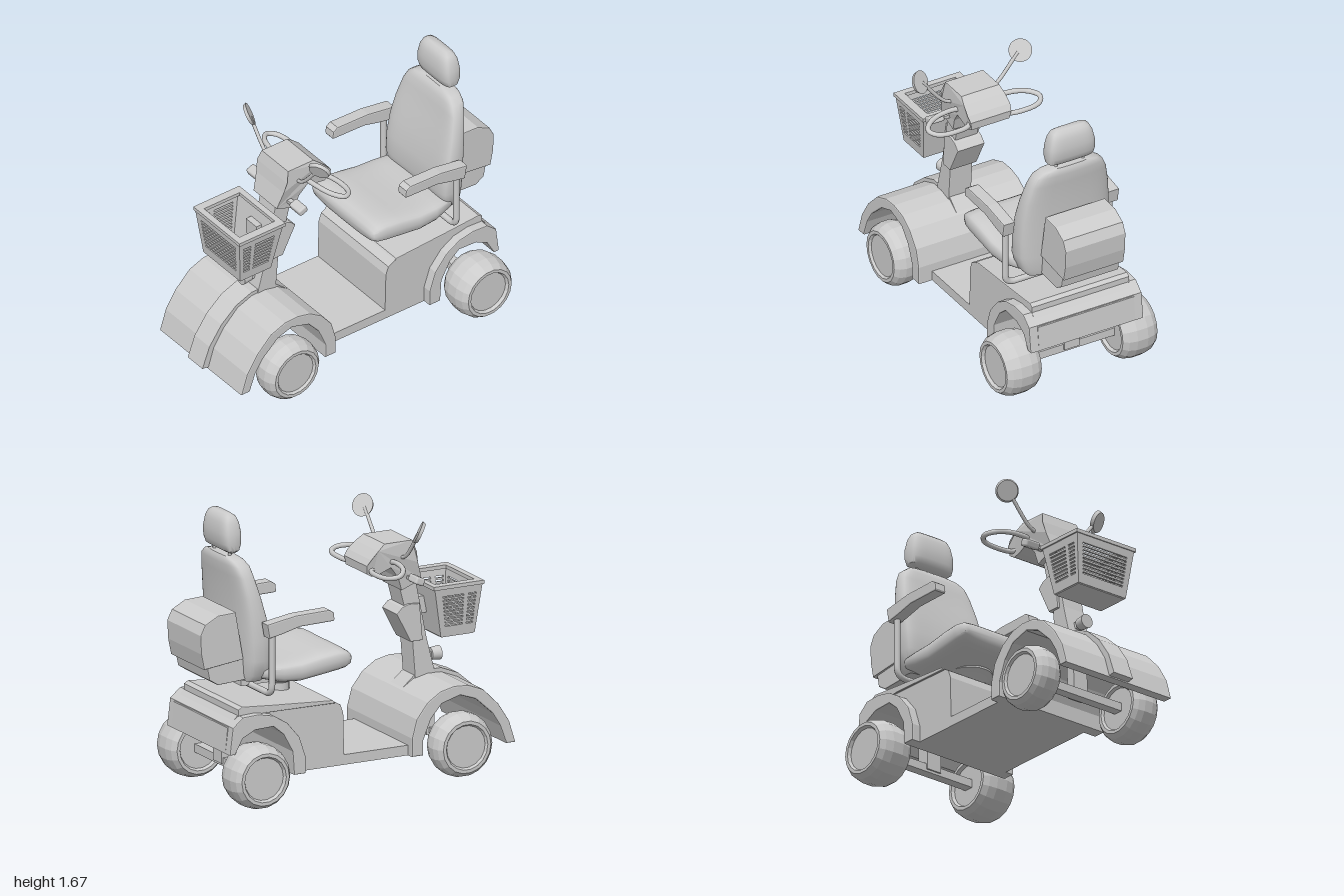
import * as THREE from 'three';
import { toCreasedNormals } from 'three/addons/utils/BufferGeometryUtils.js';
import { RoundedBoxGeometry } from 'three/addons/geometries/RoundedBoxGeometry.js';

const smooth = new THREE.MeshStandardMaterial({ color: 0xcccccc, side: THREE.DoubleSide });
const flat = new THREE.MeshStandardMaterial({ color: 0xcccccc, side: THREE.DoubleSide, flatShading: true });
const V = (x, y, z) => new THREE.Vector3(x, y, z);

export function createModel() {
  const model = new THREE.Group();

  const add = (name, geometry, material = smooth) => {
    const mesh = new THREE.Mesh(geometry, material);
    mesh.name = name;
    model.add(mesh);
    return mesh;
  };
  const box = (name, w, h, d, x, y, z) => add(name, new THREE.BoxGeometry(w, h, d).translate(x, y, z));

  // Side profile of [z, y] points, extruded across x
  const profile = (points, x0, x1, bevel = 0) => {
    const shape = new THREE.Shape(points.map(([z, y]) => new THREE.Vector2(z, y)));
    const g = new THREE.ExtrudeGeometry(shape, {
      depth: x1 - x0 - 2 * bevel, bevelEnabled: bevel > 0, bevelSize: bevel,
      bevelThickness: bevel, bevelOffset: -bevel, bevelSegments: 2,
    });
    return g.rotateY(-Math.PI / 2).translate(x1 - bevel, 0, 0);
  };

  // Loft of superellipses; stations are [u, halfWidth, vLow, vHigh], upright: u = y, v = z
  const loft = (stations, upright, power, bend = 0) => {
    const N = 32, pos = [], idx = [];
    const put = (x, v, u) => (upright ? pos.push(x, u, v + bend * x * x) : pos.push(x, v + bend * x * x, u));
    const tri = (a, b, c) => (upright ? idx.push(a, c, b) : idx.push(a, b, c));
    const bulge = (t) => Math.sign(t) * Math.abs(t) ** (2 / power);
    stations.forEach(([u, w, lo, hi], i) => {
      for (let j = 0; j < N; j++) {
        const a = (j / N) * Math.PI * 2;
        put(w * bulge(Math.cos(a)), (lo + hi) / 2 + ((hi - lo) / 2) * bulge(Math.sin(a)), u);
        if (i === 0) continue;
        const p = (i - 1) * N + j, q = (i - 1) * N + ((j + 1) % N);
        tri(p, q, q + N);
        tri(p, q + N, p + N);
      }
    });
    [0, stations.length - 1].forEach((i) => {
      const [u, , lo, hi] = stations[i], c = pos.length / 3;
      put(0, (lo + hi) / 2, u);
      for (let j = 0; j < N; j++) {
        const p = i * N + j, q = i * N + ((j + 1) % N);
        if (i) tri(c, p, q); else tri(c, q, p);
      }
    });
    const g = new THREE.BufferGeometry();
    g.setAttribute('position', new THREE.Float32BufferAttribute(pos, 3));
    g.setIndex(idx);
    return toCreasedNormals(g, 0.7);
  };

  // Wheels, with recessed hubs
  const wheel = (name, x, z, w) => {
    const half = [[0, 0.42], [0.125, 0.42], [0.135, 0.5], [0.155, 0.5], [0.178, 0.36], [0.19, 0.15]];
    const pts = [...half.map(([r, a]) => [r, -a]), ...half.slice().reverse()];
    const g = new THREE.LatheGeometry(pts.map(([r, a]) => new THREE.Vector2(r, a * w)), 18);
    add(name, g.rotateZ(Math.PI / 2).translate(x, 0.19, z), flat);
  };
  for (const s of [-1, 1]) {
    wheel('frontWheel', s * 0.36, 0.61, 0.18);
    wheel('rearWheel', s * 0.385, -0.73, 0.23);
  }
  box('frontAxle', 0.6, 0.05, 0.06, 0, 0.19, 0.61);
  box('rearAxle', 0.6, 0.05, 0.06, 0, 0.19, -0.73);
  box('rearStrut', 0.1, 0.3, 0.08, 0, 0.33, -0.73);

  // Front fender shell and its raised centre strip
  const arch = [[0.36, 0.16], [0.36, 0.25], [0.41, 0.37], [0.48, 0.45], [0.6, 0.485], [0.7, 0.45], [0.81, 0.35], [0.86, 0.27], [0.9, 0.16]];
  add('frontFender', profile([[0.96, 0.16], [0.92, 0.29], [0.85, 0.4], [0.75, 0.5], [0.65, 0.54], [0.56, 0.545],
    [0.47, 0.525], [0.385, 0.47], [0.315, 0.38], [0.285, 0.27], [0.285, 0.16], ...arch], -0.39, 0.39, 0.008));
  add('fenderStrip', profile([[1, 0.175], [0.95, 0.31], [0.865, 0.43], [0.76, 0.52], [0.65, 0.565], [0.56, 0.565],
    [0.47, 0.54], [0.4, 0.48], [0.6, 0.5], [0.7, 0.47], [0.81, 0.36], [0.86, 0.27], [0.9, 0.16]], -0.07, 0.07));

  // Floor and rear body
  box('floor', 0.64, 0.06, 0.56, -0.02, 0.19, 0.08);
  const rearArch = [[-0.905, 0.33], [-0.87, 0.33], [-0.82, 0.42], [-0.74, 0.46], [-0.62, 0.465], [-0.555, 0.41], [-0.495, 0.3], [-0.485, 0.16]];
  add('rearBody', profile([[-0.13, 0.16], [-0.137, 0.47], [-0.155, 0.52], [-0.2, 0.545], [-0.6, 0.565], [-0.82, 0.55],
    [-0.89, 0.48], ...rearArch], -0.34, 0.3));
  add('rearFender', profile([[-0.41, 0.16], [-0.41, 0.26], [-0.45, 0.38], [-0.53, 0.475], [-0.62, 0.53], [-0.72, 0.55],
    [-0.82, 0.545], [-0.885, 0.49], ...rearArch], -0.395, 0.355, 0.006));
  add('bodyLid', profile([[-0.19, 0.535], [-0.21, 0.555], [-0.6, 0.58], [-0.8, 0.595], [-0.825, 0.58], [-0.825, 0.54]], -0.35, 0.3, 0.005));

  // Seat on its post
  const post = [[0.06, 0.54], [0.06, 0.61], [0.1, 0.645], [0.13, 0.66], [0.13, 0.7]];
  add('seatPost', toCreasedNormals(new THREE.LatheGeometry(post.map(([r, y]) => new THREE.Vector2(r, y)), 24), 0.5).translate(0, 0, -0.37));
  add('seatCushion', loft([[-0.66, 0.24, 0.72, 0.78], [-0.62, 0.28, 0.7, 0.79], [-0.5, 0.305, 0.665, 0.79], [-0.38, 0.31, 0.655, 0.795],
    [-0.25, 0.31, 0.67, 0.82], [-0.14, 0.31, 0.685, 0.832], [-0.09, 0.305, 0.695, 0.825], [-0.06, 0.295, 0.715, 0.805], [-0.05, 0.28, 0.74, 0.785]], false, 4, 0.1));
  add('backrest', loft([[0.7, 0.24, -0.72, -0.61], [0.74, 0.275, -0.73, -0.58], [0.83, 0.295, -0.735, -0.565], [0.95, 0.298, -0.742, -0.575],
    [1.08, 0.293, -0.75, -0.6], [1.2, 0.278, -0.76, -0.63], [1.32, 0.25, -0.775, -0.66], [1.38, 0.22, -0.785, -0.67],
    [1.41, 0.18, -0.783, -0.685], [1.425, 0.12, -0.775, -0.7]], true, 4.5, 0.25));
  add('headrest', loft([[1.445, 0.13, -0.76, -0.71], [1.46, 0.148, -0.785, -0.69], [1.5, 0.155, -0.8, -0.678], [1.56, 0.152, -0.803, -0.676],
    [1.62, 0.138, -0.795, -0.685], [1.655, 0.12, -0.78, -0.7], [1.67, 0.095, -0.76, -0.72]], true, 4));

  // Armrests, their tubes, and headrest pins
  for (const s of [-1, 1]) {
    add('headrestPin', new THREE.CylinderGeometry(0.01, 0.01, 0.1, 10).translate(s * 0.09, 1.43, -0.74));
    const pad = [[-0.215, 1.045], [-0.22, 1.085], [-0.25, 1.105], [-0.47, 1.1], [-0.655, 1.07], [-0.64, 0.985], [-0.56, 1], [-0.44, 1.03], [-0.22, 1.035]];
    add('armrest', profile(pad, s * 0.347 - 0.038, s * 0.347 + 0.038, 0.008));
    const path = new THREE.CurvePath();
    path.add(new THREE.LineCurve3(V(s * 0.347, 1.02, -0.605), V(s * 0.347, 0.7, -0.605)));
    path.add(new THREE.QuadraticBezierCurve3(V(s * 0.347, 0.7, -0.605), V(s * 0.347, 0.64, -0.605), V(s * 0.28, 0.64, -0.605)));
    path.add(new THREE.LineCurve3(V(s * 0.28, 0.64, -0.605), V(0, 0.64, -0.605)));
    add('armTube', new THREE.TubeGeometry(path, 40, 0.019, 10));
  }
  box('seatBracket', 0.2, 0.06, 0.3, 0, 0.67, -0.52);

  // Storage box behind the backrest
  add('storageBox', profile([[-0.77, 1.12], [-0.885, 1.115], [-0.97, 1.07], [-1, 1.01], [-0.995, 0.9], [-0.975, 0.805], [-0.72, 0.835]], -0.22, 0.18, 0.006));
  add('storageBase', profile([[-0.72, 0.84], [-0.95, 0.81], [-0.935, 0.735], [-0.88, 0.7], [-0.69, 0.71], [-0.7, 0.8]], -0.21, 0.17, 0.006));

  // Steering column, knee box, fork and lamp
  add('column', profile([[0.61, 0.5], [0.605, 0.56], [0.555, 0.75], [0.48, 1.12], [0.37, 1.1], [0.46, 0.75], [0.48, 0.5]], -0.075, 0.075, 0.005));
  add('kneeBox', profile([[0.44, 0.75], [0.35, 0.925], [0.385, 0.96], [0.43, 0.975], [0.5, 0.97], [0.52, 0.75]], -0.09, 0.09, 0.005));
  add('fork', profile([[0.61, 0.56], [0.545, 0.56], [0.565, 0.17], [0.62, 0.17]], -0.05, 0.05));
  add('lamp', new THREE.CylinderGeometry(0.042, 0.036, 0.06, 20).rotateX(Math.PI / 2).translate(0, 0.635, 0.645));
  box('lampMount', 0.04, 0.04, 0.06, 0, 0.63, 0.6);

  // Console, widest at shoulder height
  const head = profile([[0.43, 1.365], [0.25, 1.365], [0.205, 1.33], [0.155, 1.285], [0.13, 1.25], [0.135, 1.2], [0.17, 1.18], [0.22, 1.19],
    [0.29, 1.22], [0.345, 1.15], [0.37, 1.07], [0.5, 1.12], [0.465, 1.23], [0.45, 1.3]], -1, 1);
  const p = head.attributes.position;
  for (let i = 0; i < p.count; i++) {
    const y = p.getY(i);
    const w = y > 1.3 ? 0.145 - (y - 1.3) * 0.3 : 0.11 + Math.max(0, y - 1.12) * 0.19;
    p.setX(i, Math.sign(p.getX(i)) * w);
  }
  head.computeVertexNormals();
  add('console', head);

  // Handlebar loops, levers and mirrors
  for (const s of [-1, 1]) {
    const loop = [[0.11, 1.25, 0.29], [0.22, 1.258, 0.295], [0.32, 1.25, 0.265], [0.37, 1.235, 0.21], [0.34, 1.225, 0.16], [0.25, 1.22, 0.14], [0.12, 1.22, 0.17]];
    const curve = new THREE.CatmullRomCurve3(loop.map(([x, y, z]) => V(s * x, y, z)), true);
    add('handlebar', new THREE.TubeGeometry(curve, 48, 0.015, 10, true));
    add('lever', new RoundedBoxGeometry(0.1, 0.045, 0.06, 2, 0.012).rotateX(0.4).translate(s * 0.205, 1.15, 0.415));
    box('leverStem', 0.08, 0.02, 0.03, s * 0.13, 1.145, 0.415);
    const stem = new THREE.CatmullRomCurve3([V(s * 0.1, 1.265, 0.36), V(s * 0.17, 1.29, 0.365), V(s * 0.32, 1.46, 0.365)]);
    add('mirrorStem', new THREE.TubeGeometry(stem, 16, 0.011, 8));
    const mirror = add('mirror', new THREE.CylinderGeometry(0.068, 0.06, 0.02, 28));
    mirror.position.set(s * 0.335, 1.467, 0.365);
    mirror.quaternion.setFromUnitVectors(V(0, 1, 0), V(-s * 0.44, 0.4, -0.757).normalize());
  }

  // Basket: four slotted walls, rim and base
  const wall = ([bl, br, tr, tl], columns) => {
    const ex = br.clone().sub(bl).normalize();
    const n = ex.clone().cross(tl.clone().sub(bl)).normalize();
    const ey = n.clone().cross(ex);
    const at = (u, v) => {
      const q = bl.clone().lerp(br, u).lerp(tl.clone().lerp(tr, u), v).sub(bl);
      return new THREE.Vector2(q.dot(ex), q.dot(ey));
    };
    const quad = (u0, u1, v0, v1) => [at(u0, v0), at(u1, v0), at(u1, v1), at(u0, v1)];
    const shape = new THREE.Shape(quad(0, 1, 0, 1));
    for (const [u0, u1] of columns)
      for (let i = 0; i < 9; i++) shape.holes.push(new THREE.Path(quad(u0, u1, 0.2 + i * 0.073, 0.235 + i * 0.073)));
    const g = new THREE.ExtrudeGeometry(shape, { depth: 0.015, bevelEnabled: false }).translate(0, 0, -0.015);
    add('basketWall', g.applyMatrix4(new THREE.Matrix4().makeBasis(ex, ey, n).setPosition(bl)));
  };
  const ring = (w, y, z0, z1) => [V(-w, y, z1), V(w, y, z1), V(w, y, z0), V(-w, y, z0)];
  const low = ring(0.175, 0.78, 0.59, 0.81), high = ring(0.212, 1.08, 0.53, 0.842);
  const slots = [[[0.1, 0.9]], [[0.1, 0.28], [0.38, 0.85]], [], [[0.15, 0.62], [0.72, 0.9]]];
  for (let i = 0; i < 4; i++) {
    const j = (i + 1) % 4;
    wall([low[i], low[j], high[j], high[i]], slots[i]);
  }
  box('basketBase', 0.34, 0.02, 0.21, 0, 0.785, 0.7);
  const flatRing = (w, z0, z1) => ring(w, 0, z0, z1).map((q) => new THREE.Vector2(q.x, -q.z));
  const rim = new THREE.Shape(flatRing(0.22, 0.52, 0.848));
  rim.holes.push(new THREE.Path(flatRing(0.168, 0.557, 0.81)));
  add('basketRim', new THREE.ExtrudeGeometry(rim, { depth: 0.022, bevelEnabled: false }).rotateX(-Math.PI / 2).translate(0, 1.072, 0));
  box('basketBracket', 0.1, 0.1, 0.12, 0, 0.95, 0.54);

  return model;
}
